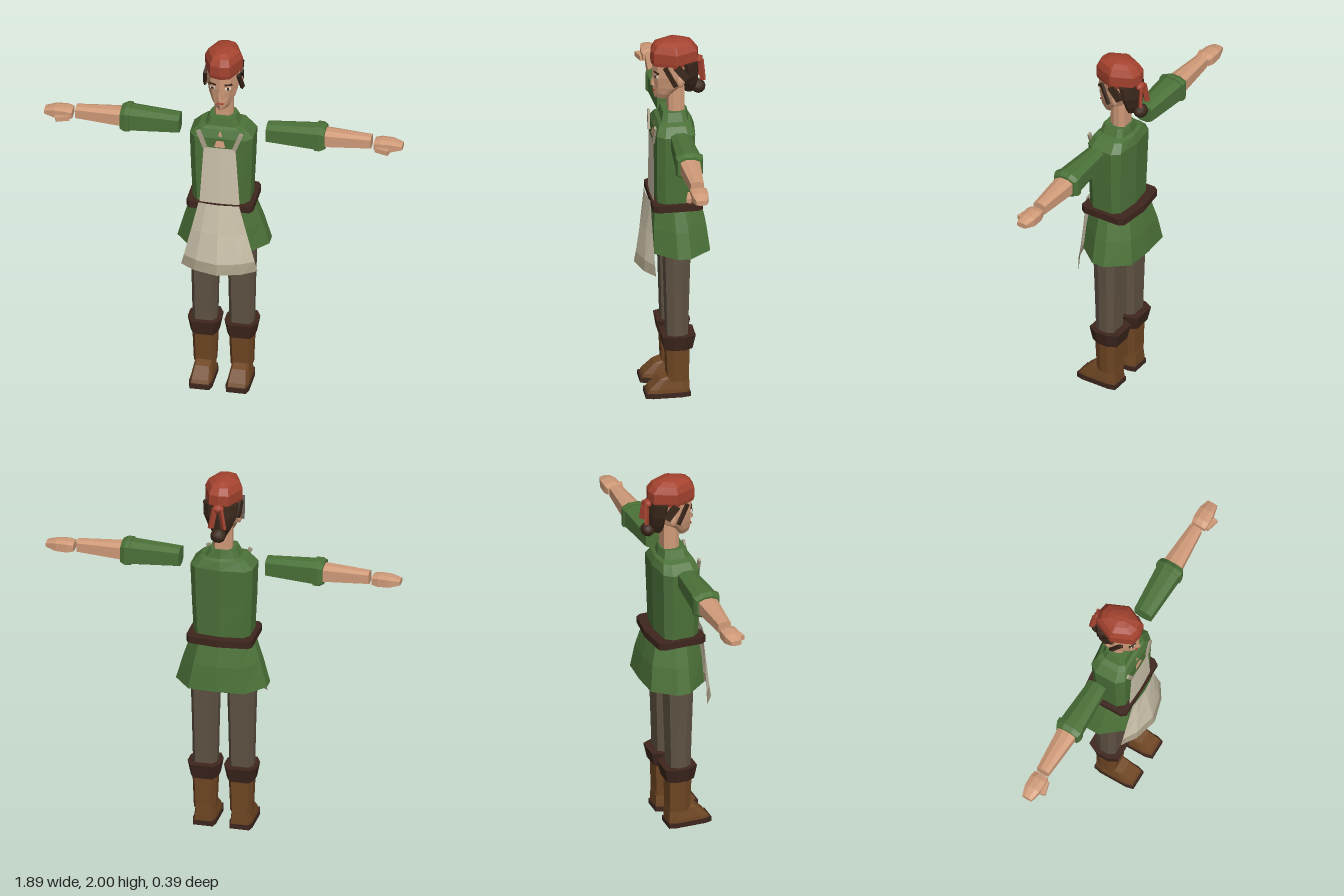
import * as THREE from 'three';

const mat = (name, color, side = THREE.FrontSide) => {
  const m = new THREE.MeshStandardMaterial({ color, side });
  m.name = name;
  return m;
};

// Chamfered ten-sided cross-section, starting at front centre, counterclockwise from above
function ring(y, hx, zF, zB, { cut = 0.3, bulgeF = 0, bulgeB = 0, cx = 0 } = {}) {
  const f = zF - bulgeF, b = zB + bulgeB, dz = (f - b) * cut, ix = hx * (1 - cut);
  const half = [[ix, f], [hx, f - dz], [hx, b + dz], [ix, b]];
  const pts = [[0, zF], ...half, [0, zB], ...half.slice().reverse().map(([x, z]) => [-x, z])];
  return pts.map(([x, z]) => new THREE.Vector3(cx + x, y, z));
}

function flatGeometry(tris) {
  const g = new THREE.BufferGeometry().setFromPoints(tris);
  g.computeVertexNormals();
  return g;
}

// Skin a stack of rings, from low to high
function loft(rings, capped = true) {
  const t = [], n = rings[0].length;
  for (let k = 0; k < rings.length - 1; k++) {
    const a = rings[k], b = rings[k + 1];
    for (let i = 0; i < n; i++) {
      const j = (i + 1) % n;
      t.push(a[i], a[j], b[j], a[i], b[j], b[i]);
    }
  }
  if (capped) {
    const mid = r => r.reduce((s, p) => s.add(p), new THREE.Vector3()).divideScalar(n);
    const lo = rings[0], hi = rings[rings.length - 1], cl = mid(lo), ch = mid(hi);
    for (let i = 0; i < n; i++) {
      const j = (i + 1) % n;
      t.push(cl, lo[j], lo[i], ch, hi[i], hi[j]);
    }
  }
  return flatGeometry(t);
}
const body = (rows, opt, capped) => loft(rows.map(r => ring(...r, opt)), capped);

// Open cloth sheet; each row is [y, half width, edge z, middle z], from low to high
function sheet(rows) {
  const t = [];
  const pts = rows.map(([y, hx, ze, zm]) => [-1, -0.62, 0, 0.62, 1].map(u =>
    new THREE.Vector3(u * hx, y, ze + (zm - ze) * (u === 0 ? 1 : Math.abs(u) < 1 ? 0.6 : 0))));
  for (let k = 0; k < pts.length - 1; k++) for (let i = 0; i < 4; i++) {
    const a = pts[k], b = pts[k + 1];
    t.push(a[i], a[i + 1], b[i + 1], a[i], b[i + 1], b[i]);
  }
  return flatGeometry(t);
}

export function createModel() {
  const model = new THREE.Group();
  model.name = 'villager';
  const skin = mat('skin', 0xd09b79), green = mat('greenCloth', 0x4c7239, THREE.DoubleSide);
  const linen = mat('linen', 0xcfc5ae, THREE.DoubleSide), hem = mat('linenHem', 0xa99f87, THREE.DoubleSide);
  const wool = mat('brownWool', 0x5f5243), boot = mat('bootLeather', 0x6f4623);
  const dark = mat('darkLeather', 0x3d261d), red = mat('redCloth', 0xa5432f);
  const hair = mat('hair', 0x3a271b), white = mat('eyeWhite', 0xe0d8cc);

  const add = (name, geo, m, parent = model) => {
    const mesh = new THREE.Mesh(geo, m);
    mesh.name = name;
    parent.add(mesh);
    return mesh;
  };
  // Box stretched between two points
  const bar = (name, a, b, w, d, m, parent) => {
    const p = new THREE.Vector3(...a), q = new THREE.Vector3(...b), dir = q.clone().sub(p);
    const mesh = add(name, new THREE.BoxGeometry(w, dir.length(), d), m, parent);
    mesh.position.copy(p).add(q).multiplyScalar(0.5);
    mesh.quaternion.setFromUnitVectors(new THREE.Vector3(0, 1, 0), dir.normalize());
    return mesh;
  };
  const ball = (name, pos, scale, m, parent) => {
    const mesh = add(name, new THREE.IcosahedronGeometry(1, 1), m, parent);
    mesh.position.set(...pos);
    mesh.scale.set(...scale);
    return mesh;
  };

  // Tunic, collar and belt
  add('tunicTorso', body([
    [1.09, 0.15, 0.085, -0.115], [1.3, 0.16, 0.09, -0.12], [1.5, 0.167, 0.09, -0.125],
    [1.545, 0.122, 0.072, -0.11], [1.555, 0.09, 0.055, -0.095], [1.6, 0.068, 0.045, -0.085],
  ], { cut: 0.2, bulgeB: 0.014 }), green);
  add('tunicSkirt', body([
    [0.835, 0.243, 0.118, -0.195], [0.97, 0.205, 0.115, -0.178], [1.09, 0.165, 0.105, -0.15],
  ], { cut: 0.38, bulgeF: 0.01, bulgeB: 0.008 }, false), green);
  add('belt', body([[1.078, 0.176, 0.113, -0.165], [1.115, 0.176, 0.113, -0.165]],
    { cut: 0.1, bulgeB: 0.018 }), dark);
  add('neckOpening', flatGeometry([[-0.03, 1.45, 0.096], [0.03, 1.45, 0.096], [0, 1.545, 0.08]]
    .map(p => new THREE.Vector3(...p))), skin);

  // Apron
  const apron = new THREE.Group();
  apron.name = 'apron';
  model.add(apron);
  add('apronSkirt', sheet([[0.785, 0.187, 0.108, 0.18], [0.95, 0.147, 0.114, 0.157], [1.12, 0.107, 0.12, 0.132]]), linen, apron);
  add('apronHem', sheet([[0.727, 0.202, 0.105, 0.191], [0.785, 0.187, 0.108, 0.18]]), hem, apron);
  add('apronBib', sheet([[1.115, 0.106, 0.1, 0.106], [1.45, 0.084, 0.1, 0.104]]), linen, apron);

  // Neck, face and head
  add('neck', body([[1.55, 0.05, 0.015, -0.07], [1.76, 0.048, 0.015, -0.07]]), skin);
  const head = new THREE.Group();
  head.name = 'head';
  model.add(head);
  add('face', body([
    [1.668, 0.032, 0.083, 0.005], [1.7, 0.052, 0.09, -0.02], [1.74, 0.07, 0.09, -0.06],
    [1.8, 0.084, 0.095, -0.1], [1.9, 0.09, 0.095, -0.11],
  ], { cut: 0.4, bulgeF: 0.02 }), skin, head);
  const nose = add('nose', new THREE.ConeGeometry(0.018, 0.07, 4).toNonIndexed(), skin, head);
  nose.position.set(0, 1.775, 0.088);
  add('mouth', new THREE.BoxGeometry(0.036, 0.007, 0.008), red, head).position.set(0, 1.712, 0.087);

  // Head scarf with its knot and tails
  add('headScarf', body([
    [1.865, 0.094, 0.1, -0.135], [1.885, 0.098, 0.105, -0.145], [1.94, 0.099, 0.104, -0.145],
    [1.975, 0.082, 0.085, -0.12], [1.992, 0.052, 0.05, -0.085], [2, 0.02, 0.01, -0.045],
  ], { cut: 0.48, bulgeF: 0.012, bulgeB: 0.012 }), red, head);
  ball('scarfKnot', [0, 1.87, -0.148], [0.032, 0.022, 0.022], red, head);

  // Hair and bun
  add('backHair', body([
    [1.7, 0.035, -0.075, -0.13], [1.75, 0.062, -0.065, -0.145],
    [1.81, 0.086, -0.055, -0.148], [1.88, 0.093, -0.04, -0.14],
  ], { cut: 0.4, bulgeB: 0.01 }), hair, head);
  ball('hairBun', [0, 1.715, -0.147], [0.042, 0.038, 0.038], hair, head);

  for (const s of [1, -1]) {
    const side = s > 0 ? 'left' : 'right';

    // Face details, strands and scarf tails
    const eye = add(side + 'Eye', new THREE.BoxGeometry(0.03, 0.012, 0.008), white, head);
    eye.position.set(s * 0.04, 1.803, 0.079);
    const pupil = add(side + 'Pupil', new THREE.BoxGeometry(0.012, 0.012, 0.009), hair, head);
    pupil.position.set(s * 0.04, 1.803, 0.0805);
    const brow = add(side + 'Brow', new THREE.BoxGeometry(0.042, 0.008, 0.009), hair, head);
    brow.position.set(s * 0.042, 1.826, 0.079);
    for (const m of [eye, pupil, brow]) m.rotation.y = s * 0.37;
    ball(side + 'Ear', [s * 0.087, 1.785, -0.04], [0.012, 0.034, 0.02], skin, head);
    bar(side + 'Strand', [s * 0.088, 1.87, 0.04], [s * 0.1, 1.765, -0.015], 0.014, 0.022, hair, head);
    bar(side + 'TempleHair', [s * 0.09, 1.87, -0.02], [s * 0.086, 1.8, -0.075], 0.018, 0.04, hair, head);
    bar(side + 'ScarfTail', [s * 0.015, 1.875, -0.158], [s * 0.035, 1.765, -0.166], 0.028, 0.014, red, head);
    bar(side + 'ApronStrap', [s * 0.076, 1.445, 0.1], [s * 0.114, 1.543, 0.096], 0.022, 0.012, hem, apron);

    // Arm, lofted upright and then laid out sideways
    const arm = new THREE.Group();
    arm.name = side + 'Arm';
    arm.position.y = 1.51;
    arm.rotation.z = -s * Math.PI / 2;
    model.add(arm);
    add('sleeve', body([[0.23, 0.05, 0.032, -0.067], [0.5, 0.065, 0.044, -0.085]]), green, arm);
    add('sleeveCuff', body([[0.49, 0.07, 0.049, -0.092], [0.515, 0.071, 0.05, -0.093], [0.54, 0.058, 0.042, -0.082]]), green, arm);
    add('forearm', body([[0.5, 0.048, 0.033, -0.075], [0.78, 0.034, 0.012, -0.056]]), skin, arm);
    const hand = new THREE.Group();
    hand.name = 'hand';
    hand.position.x = s * 0.008;
    arm.add(hand);
    add('palm', body([
      [0.797, 0.024, 0.02, -0.058], [0.83, 0.032, 0.024, -0.065],
      [0.89, 0.03, 0.02, -0.064], [0.945, 0.014, 0.008, -0.048],
    ]), skin, hand);
    bar('thumb', [s * 0.01, 0.81, 0.02], [s * 0.014, 0.88, 0.038], 0.026, 0.026, skin, hand);

    // Leg and boot
    const leg = new THREE.Group();
    leg.name = side + 'Leg';
    leg.position.x = s * 0.097;
    model.add(leg);
    add('trouserLeg', body([
      [0.3, 0.063, 0.035, -0.07], [0.6, 0.069, 0.043, -0.078], [0.95, 0.079, 0.052, -0.087],
    ]), wool, leg);
    add('bootCuff', body([[0.275, 0.073, 0.053, -0.094], [0.355, 0.088, 0.066, -0.11]]), dark, leg);
    add('bootShaft', body([[0.09, 0.058, 0.034, -0.077], [0.29, 0.066, 0.042, -0.08]]), boot, leg);
    add('bootFoot', body([
      [0.022, 0.058, 0.142, -0.08], [0.045, 0.056, 0.13, -0.08],
      [0.098, 0.046, 0.075, -0.079], [0.116, 0.044, 0.03, -0.077],
    ], { cut: 0.2 }), boot, leg);
    add('bootSole', body([[0, 0.062, 0.15, -0.085], [0.026, 0.062, 0.15, -0.085]], { cut: 0.16 }), dark, leg);
  }
  return model;
}
